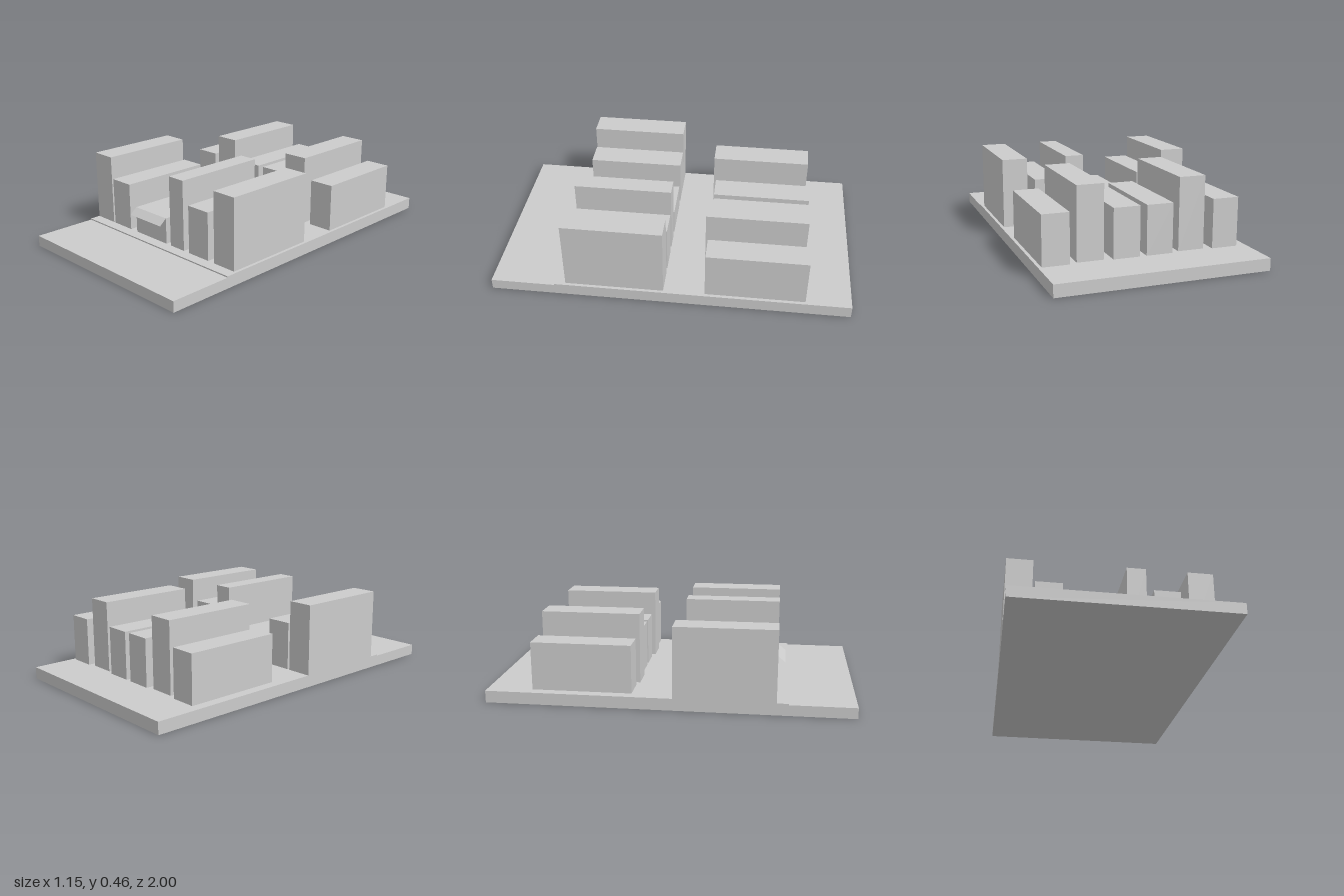
import * as THREE from 'three';

const GROUND = 0.067, ROAD = 0.06, HALF_W = 0.575;
const TALL = 0.462, LOW = 0.335, SHOP = 0.215;

export function createModel() {
  const group = new THREE.Group();
  const material = new THREE.MeshStandardMaterial({ color: 0xcccccc, flatShading: true });

  const add = (name, geometry, mat = material) => {
    const mesh = new THREE.Mesh(geometry, mat);
    mesh.name = name;
    group.add(mesh);
    return mesh;
  };

  // Ground slab: side profile (z, y) with a kerb stepping down to the road
  const profile = new THREE.Shape([
    [-1, 0], [1, 0], [1, ROAD], [0.642, ROAD], [0.642, GROUND], [-1, GROUND],
  ].map(([z, y]) => new THREE.Vector2(z, y)));
  const slab = new THREE.ExtrudeGeometry(profile, { depth: HALF_W * 2, bevelEnabled: false });
  slab.translate(0, 0, -HALF_W).rotateY(-Math.PI / 2);
  add('groundSlab', slab);

  // Rows of block buildings standing on the slab
  const building = (name, x0, x1, top, z0, z1) => {
    const box = new THREE.BoxGeometry(x1 - x0, top - GROUND, z1 - z0);
    add(name, box).position.set((x0 + x1) / 2, (top + GROUND) / 2, (z0 + z1) / 2);
  };

  const frontRow = [
    [-0.575, -0.43, TALL], [-0.417, -0.27, LOW], [-0.215, 0.04, SHOP],
    [0.075, 0.182, TALL], [0.223, 0.37, LOW], [0.414, 0.558, TALL],
  ];
  frontRow.forEach(([x0, x1, top], i) =>
    building(top === SHOP ? 'shop' : `frontBuilding${i + 1}`, x0, x1, top, 0.03, 0.58));

  const backRow = [
    [-0.52, -0.375, LOW], [-0.33, -0.185, TALL], [-0.145, 0, LOW],
    [0.037, 0.182, LOW], [0.227, 0.372, TALL], [0.412, 0.557, LOW],
  ];
  backRow.forEach(([x0, x1, top], i) => {
    const z = top === TALL ? -0.735 : -0.75; // tall blocks sit slightly forward
    building(`backBuilding${i + 1}`, x0, x1, top, z, z + 0.551);
  });

  // Thin awning sloping down from the shop roof edge
  const drop = 0.035, reach = 0.042;
  const awning = new THREE.PlaneGeometry(0.255, Math.hypot(drop, reach));
  awning.rotateX(-Math.atan2(reach, drop));
  const thin = material.clone();
  thin.side = THREE.DoubleSide;
  add('awning', awning, thin).position.set(-0.0875, SHOP - drop / 2, 0.58 + reach / 2);

  return group;
}
